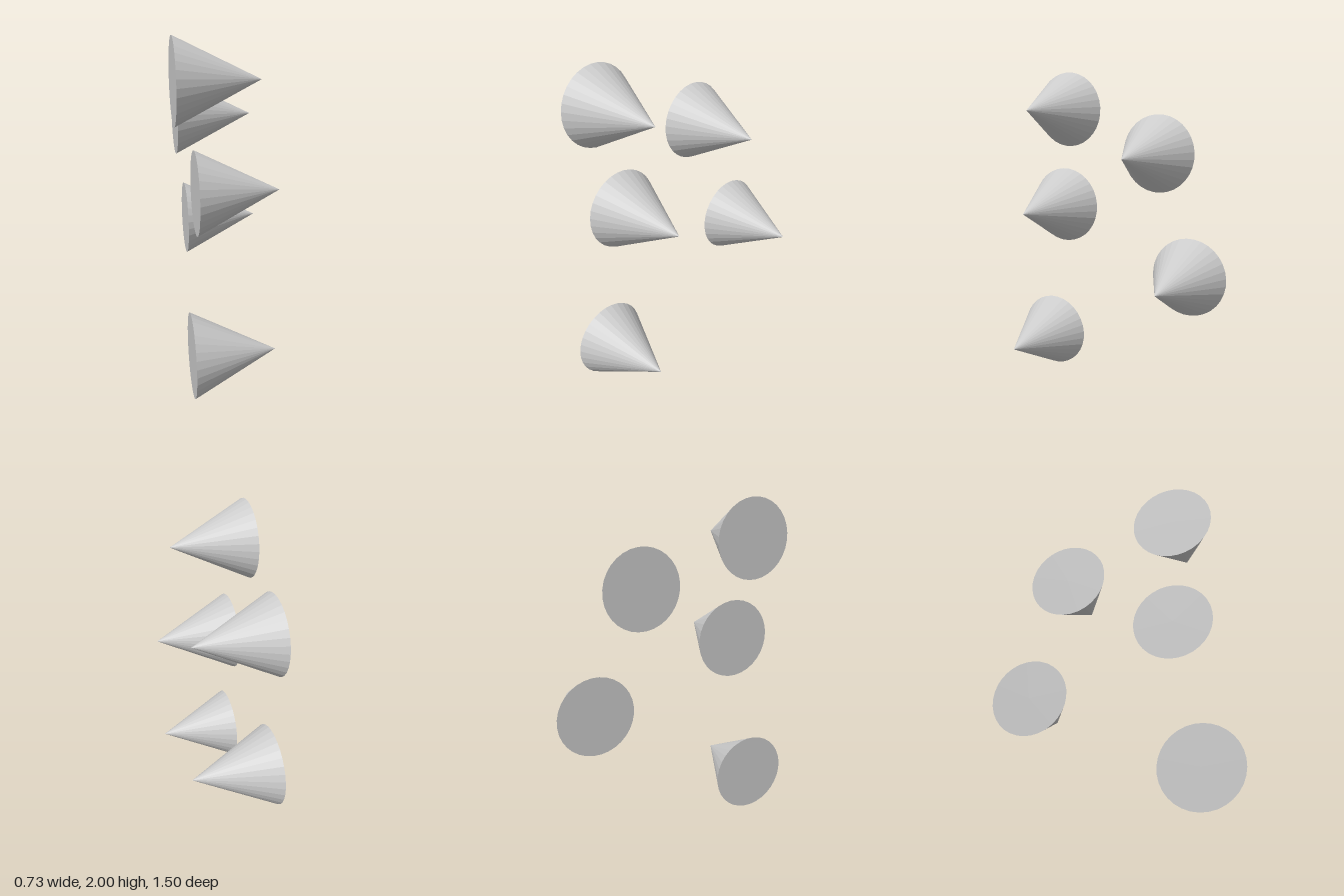
import * as THREE from 'three';

// Five identical cones floating in a loose cluster, all pointing the same way
const RADIUS = 0.24;
const AXIS = new THREE.Vector3(0.476, 0.009, 0.043); // base centre to tip

// Tip x, base-centre y and z of each cone, from the top down
const CONES = [
  [0.128, 1.76, 0.419],
  [0.256, 1.506, -0.261],
  [0.252, 1.145, 0.386],
  [0.364, 0.775, -0.51],
  [0.203, 0.24, 0.511],
];

export function createModel() {
  const group = new THREE.Group();
  group.name = 'coneCluster';
  const material = new THREE.MeshStandardMaterial({ color: 0xcccccc, flatShading: true });

  // Shared cone: base centre at the origin, tip along AXIS
  const length = AXIS.length();
  const geometry = new THREE.ConeGeometry(RADIUS, length, 32);
  geometry.translate(0, length / 2, 0);
  geometry.applyQuaternion(new THREE.Quaternion().setFromUnitVectors(
    new THREE.Vector3(0, 1, 0), AXIS.clone().normalize()));

  CONES.forEach(([tipX, y, z], i) => {
    const cone = new THREE.Mesh(geometry, material);
    cone.name = `cone${i + 1}`;
    cone.position.set(tipX - AXIS.x, y, z);
    group.add(cone);
  });
  return group;
}
